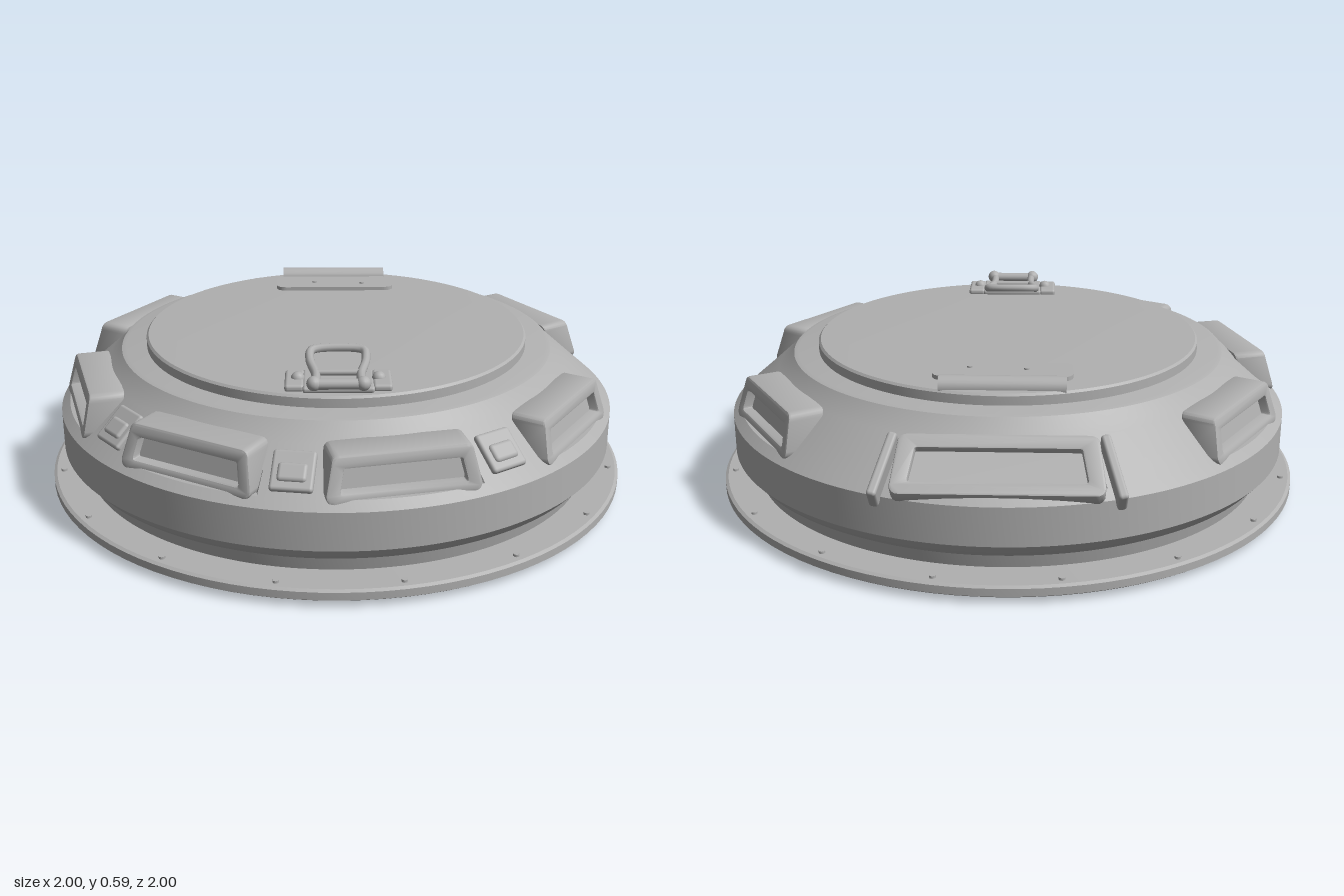
import * as THREE from 'three';
import { toCreasedNormals } from 'three/addons/utils/BufferGeometryUtils.js';
import { RoundedBoxGeometry } from 'three/addons/geometries/RoundedBoxGeometry.js';

const paint = new THREE.MeshStandardMaterial({ color: 0xb0b0b0 });
paint.name = 'grey paint';

const rad = THREE.MathUtils.degToRad;
const windowAngles = [-121, -74, -30.5, 12, 57, 121].map(rad);
const lugAngles = [-52, -9, 34].map(rad);

function add(parent, name, geometry, x = 0, y = 0, z = 0) {
  const mesh = new THREE.Mesh(geometry, paint);
  mesh.name = name;
  mesh.position.set(x, y, z);
  parent.add(mesh);
  return mesh;
}

// Group whose local +z points outward at the given angle
function spoke(parent, name, angle) {
  const group = new THREE.Group();
  group.name = name;
  group.rotation.y = angle;
  parent.add(group);
  return group;
}

function lathe(points, segments = 144) {
  return new THREE.LatheGeometry(points.map(([r, y]) => new THREE.Vector2(r, y)), segments);
}

// Rounded trapezoid, wider at the bottom by flare on each side
function trace(path, halfW, y0, y1, flare, r) {
  const b = halfW + flare, t = halfW;
  path.moveTo(-b + r, y0);
  path.lineTo(b - r, y0);
  path.quadraticCurveTo(b, y0, b, y0 + r);
  path.lineTo(t, y1 - r);
  path.quadraticCurveTo(t, y1, t - r, y1);
  path.lineTo(-t + r, y1);
  path.quadraticCurveTo(-t, y1, -t, y1 - r);
  path.lineTo(-b, y0 + r);
  path.quadraticCurveTo(-b, y0, -b + r, y0);
  return path;
}

function frameGeometry(outer, inner, depth, bevel) {
  const shape = trace(new THREE.Shape(), ...outer);
  shape.holes.push(trace(new THREE.Path(), ...inner));
  return new THREE.ExtrudeGeometry(shape, {
    depth, curveSegments: 4, bevelEnabled: true, bevelSize: bevel, bevelThickness: bevel, bevelSegments: 2,
  });
}

// Conical body with a pocket pressed in behind each window
function bodyGeometry() {
  const geometry = lathe([[0.88, 0.055], [0.89, 0.1], [0.915, 0.115], [0.955, 0.16], [0.955, 0.285],
    [0.926, 0.31], [0.868, 0.36], [0.794, 0.425], [0.765, 0.45], [0.74, 0.478], [0.725, 0.482], [0, 0.482]]);
  const pos = geometry.attributes.position;
  const apart = (a, b) => Math.abs(Math.atan2(Math.sin(a - b), Math.cos(a - b)));
  for (let i = 0; i < pos.count; i++) {
    if (Math.abs(pos.getY(i) - 0.36) > 0.001) continue;
    const angle = Math.atan2(pos.getX(i), pos.getZ(i));
    const front = windowAngles.some((a) => apart(a, angle) < 0.24);
    const rear = apart(Math.PI, angle) < 0.33;
    if (front || rear) {
      pos.setXYZ(i, Math.sin(angle) * 0.82, front ? 0.312 : 0.34, Math.cos(angle) * 0.82);
    }
  }
  return toCreasedNormals(geometry, 0.35);
}

function addPeriscope(parent, angle) {
  const group = spoke(parent, 'periscope', angle);
  const hood = frameGeometry([0.208, 0.305, 0.432, 0.02, 0.02], [0.185, 0.322, 0.405, 0.012, 0.015], 0.1, 0.007);
  // Lean the hood back towards the top
  const pos = hood.attributes.position;
  for (let i = 0; i < pos.count; i++) pos.setZ(i, pos.getZ(i) - (pos.getY(i) - 0.3) * 0.25);
  add(group, 'periscopeHood', toCreasedNormals(hood, 0.6), 0, 0, 0.808);
  const pane = add(group, 'periscopePane', new THREE.BoxGeometry(0.41, 0.105, 0.008), 0, 0.362, 0.862);
  pane.rotation.x = -0.24;
}

// Rear window lies along the slope between two fins
function addRearWindow(parent) {
  const group = spoke(parent, 'rearWindow', Math.PI);
  const slope = new THREE.Group();
  slope.name = 'rearWindowSlope';
  slope.position.set(0, 0.367, 0.86);
  slope.rotation.x = -0.856;
  group.add(slope);
  const frame = frameGeometry([0.29, -0.09, 0.095, 0.015, 0.025], [0.25, -0.06, 0.06, 0.015, 0.015], 0.045, 0.006);
  add(slope, 'rearWindowFrame', toCreasedNormals(frame, 0.6), 0, 0, -0.033);
  add(slope, 'rearWindowPane', new THREE.BoxGeometry(0.53, 0.13, 0.008), 0, 0, -0.012);
  for (const side of [-1, 1]) {
    const fin = add(slope, 'rearFin', new RoundedBoxGeometry(0.03, 0.21, 0.09, 2, 0.01), side * 0.335, 0, -0.018);
    fin.rotation.z = side * 0.25;
  }
}

function addLug(parent, angle) {
  const group = spoke(parent, 'lug', angle);
  const base = add(group, 'lugPlate', new RoundedBoxGeometry(0.13, 0.13, 0.03, 2, 0.01), 0, 0.366, 0.862);
  base.rotation.x = -0.856;
  const block = add(group, 'lugBlock', new RoundedBoxGeometry(0.09, 0.06, 0.05, 2, 0.012), 0, 0.36, 0.868);
  block.rotation.x = -0.856;
}

// Folding handle with its hinge, at the front of the lid
function addHandle(parent) {
  const group = new THREE.Group();
  group.name = 'handle';
  parent.add(group);
  add(group, 'handleBase', new RoundedBoxGeometry(0.22, 0.02, 0.16, 2, 0.009), 0, 0.528, 0.55);
  const loop = [[-0.07, 0.55, 0.62], [-0.07, 0.548, 0.54], [-0.088, 0.556, 0.44], [-0.085, 0.57, 0.39], [-0.06, 0.573, 0.377],
    [0.06, 0.573, 0.377], [0.085, 0.57, 0.39], [0.088, 0.556, 0.44], [0.07, 0.548, 0.54], [0.07, 0.55, 0.62]];
  const curve = new THREE.CatmullRomCurve3(loop.map((p) => new THREE.Vector3(...p)), false, 'centripetal');
  add(group, 'handleLoop', new THREE.TubeGeometry(curve, 60, 0.014, 10));
  const cross = add(group, 'handleCrossbar', new THREE.CylinderGeometry(0.01, 0.01, 0.15, 10), 0, 0.55, 0.53);
  const pin = add(group, 'hingePin', new THREE.CylinderGeometry(0.017, 0.017, 0.17, 14), 0, 0.55, 0.63);
  cross.rotation.z = pin.rotation.z = Math.PI / 2;
  for (const side of [-1, 1]) {
    add(group, 'hingeKnob', new THREE.SphereGeometry(0.023, 14, 10), side * 0.075, 0.552, 0.63);
    add(group, 'hingeEar', new RoundedBoxGeometry(0.06, 0.024, 0.14, 2, 0.01), side * 0.135, 0.528, 0.545);
    add(group, 'hingeBolt', new THREE.SphereGeometry(0.022, 12, 8), side * 0.125, 0.536, 0.545);
  }
}

// Rolled hinge and rounded leaf at the rear of the lid
function addRearHinge(parent) {
  const group = new THREE.Group();
  group.name = 'rearHinge';
  parent.add(group);
  const roll = add(group, 'hingeRoll', new THREE.CylinderGeometry(0.034, 0.034, 0.39, 20), -0.003, 0.521, -0.59);
  roll.rotation.z = Math.PI / 2;
  const leafShape = trace(new THREE.Shape(), 0.22, -0.07, 0.07, 0, 0.04);
  const leaf = add(group, 'hingeLeaf', new THREE.ExtrudeGeometry(leafShape, { depth: 0.018, bevelEnabled: false }), 0, 0.517, -0.47);
  leaf.rotation.x = -Math.PI / 2;
  for (const [x, z] of [[-0.075, -0.465], [0.105, -0.45]]) {
    add(group, 'leafRivet', new THREE.CylinderGeometry(0.009, 0.009, 0.006, 10), x, 0.537, z);
  }
}

export function createModel() {
  const model = new THREE.Group();
  model.name = 'cupola';

  // Base disc and bolted flange
  add(model, 'baseDisc', toCreasedNormals(lathe([[0, 0], [0.58, 0], [0.58, 0.025]], 96), 0.5));
  add(model, 'flange', toCreasedNormals(
    lathe([[0, 0.018], [0.99, 0.018], [1, 0.025], [1, 0.05], [0.99, 0.056], [0.86, 0.058]], 96), 0.5));
  for (let i = 0; i < 16; i++) {
    const a = (i + 0.5) * Math.PI / 8;
    add(model, 'flangeBolt', new THREE.CylinderGeometry(0.01, 0.01, 0.008, 8), Math.sin(a) * 0.965, 0.06, Math.cos(a) * 0.965);
  }

  // Body and lid
  add(model, 'body', bodyGeometry());
  add(model, 'lid', toCreasedNormals(
    lathe([[0.655, 0.475], [0.655, 0.512], [0.648, 0.519], [0.56, 0.522], [0, 0.522]], 96), 0.5));

  for (const angle of windowAngles) addPeriscope(model, angle);
  addRearWindow(model);
  for (const angle of lugAngles) addLug(model, angle);
  addHandle(model);
  addRearHinge(model);
  return model;
}
